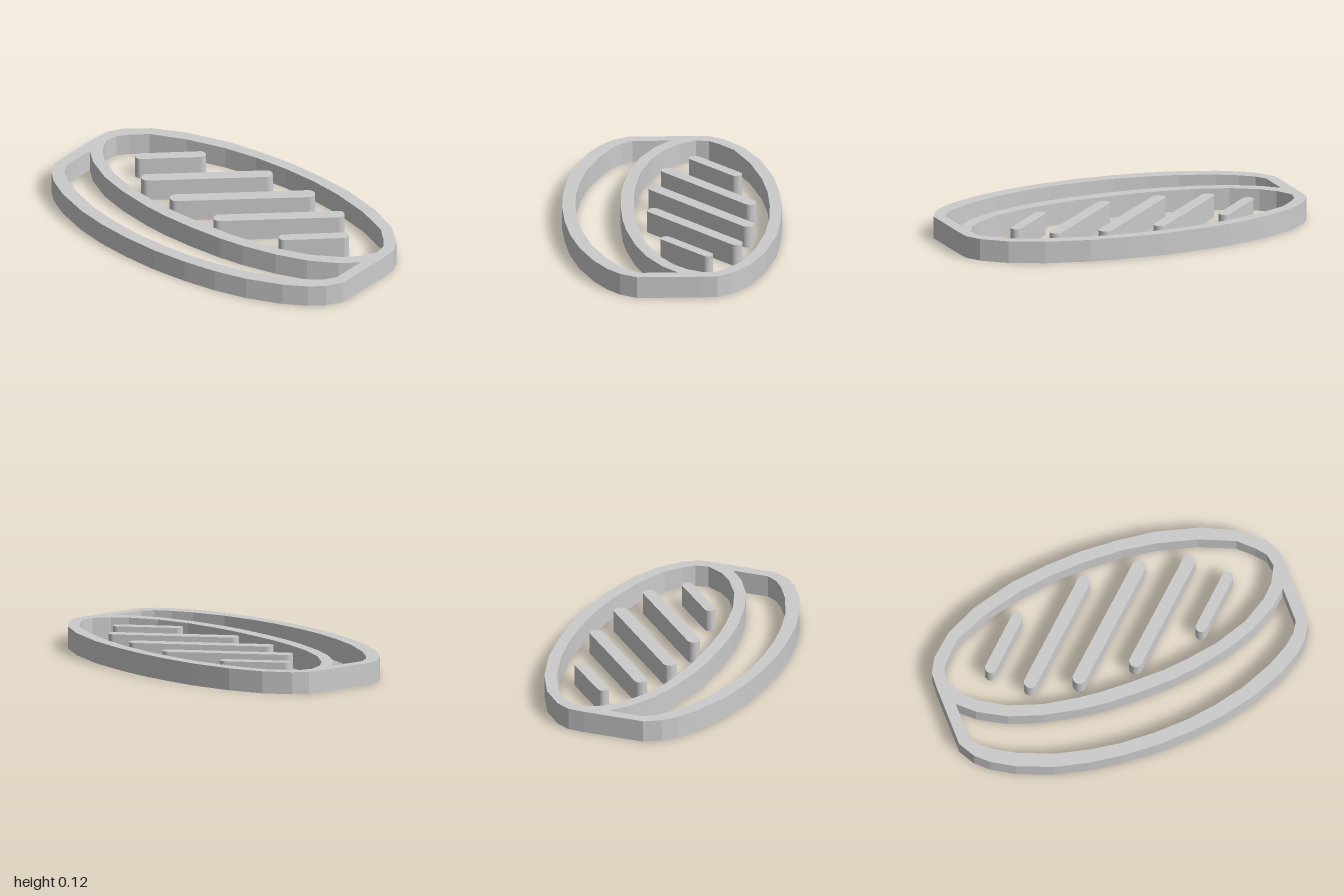
import * as THREE from 'three';

const HEIGHT = 0.12;
const material = new THREE.MeshStandardMaterial({ color: 0xcccccc, flatShading: true });

// Mirror a half outline (x, z), listed from back to front, into a closed counter-clockwise loop
function mirrored(half) {
  const left = half.map(([x, z]) => [-x, z]);
  const right = half.filter(([x]) => x > 0).reverse();
  return [...left, ...right].map(([x, z]) => new THREE.Vector2(x, -z));
}

// Extrude a plan shape upward from the ground
function slab(name, shape) {
  const geometry = new THREE.ExtrudeGeometry(shape, { depth: HEIGHT, bevelEnabled: false, curveSegments: 8 });
  geometry.rotateX(-Math.PI / 2);
  const mesh = new THREE.Mesh(geometry, material);
  mesh.name = name;
  return mesh;
}

// Round-ended bar between two plan points (x, z)
function bar(name, [x1, z1], [x2, z2], r) {
  const a = Math.atan2(z1 - z2, x2 - x1);
  const shape = new THREE.Shape();
  shape.absarc(x2, -z2, r, a - Math.PI / 2, a + Math.PI / 2, false);
  shape.absarc(x1, -z1, r, a + Math.PI / 2, a + Math.PI * 1.5, false);
  shape.closePath();
  return slab(name, shape);
}

export function createModel() {
  const model = new THREE.Group();
  model.name = 'slottedDisc';

  // Frame: outer rim, with an oval opening and a crescent opening in front of it
  const frame = new THREE.Shape(mirrored([
    [0, -0.59], [0.2, -0.58], [0.41, -0.555], [0.65, -0.49], [0.83, -0.405], [0.95, -0.3], [0.995, -0.22], [1, -0.13],
    [1, 0.21], [0.95, 0.3], [0.88, 0.365], [0.76, 0.437], [0.57, 0.512], [0.39, 0.555], [0.2, 0.58], [0, 0.59],
  ]));
  const oval = mirrored([
    [0, -0.525], [0.2, -0.517], [0.39, -0.49], [0.61, -0.432], [0.8, -0.35], [0.88, -0.275], [0.925, -0.22],
    [0.937, -0.15], [0.89, -0.06], [0.82, 0.01], [0.68, 0.095], [0.5, 0.155], [0.31, 0.187], [0.18, 0.2], [0, 0.203],
  ]);
  const crescent = mirrored([
    [0, 0.275], [0.19, 0.269], [0.33, 0.253], [0.53, 0.212], [0.7, 0.155], [0.85, 0.07], [0.937, -0.01],
    [0.937, 0.19], [0.9, 0.25], [0.83, 0.307], [0.72, 0.37], [0.54, 0.442], [0.36, 0.485], [0.19, 0.51], [0, 0.518],
  ]);
  frame.holes.push(new THREE.Path(oval), new THREE.Path(crescent));
  model.add(slab('frame', frame));

  // Slanted bars standing inside the oval
  const bars = [
    [[-0.688, -0.138], [-0.456, -0.356], 0.031],
    [[-0.518, 0.013], [-0.05, -0.42], 0.035],
    [[-0.262, 0.082], [0.258, -0.398], 0.037],
    [[0.053, 0.1], [0.52, -0.332], 0.035],
    [[0.45, 0.042], [0.683, -0.175], 0.03],
  ];
  bars.forEach(([from, to, r], i) => model.add(bar(`slantedBar${i + 1}`, from, to, r)));

  return model;
}
